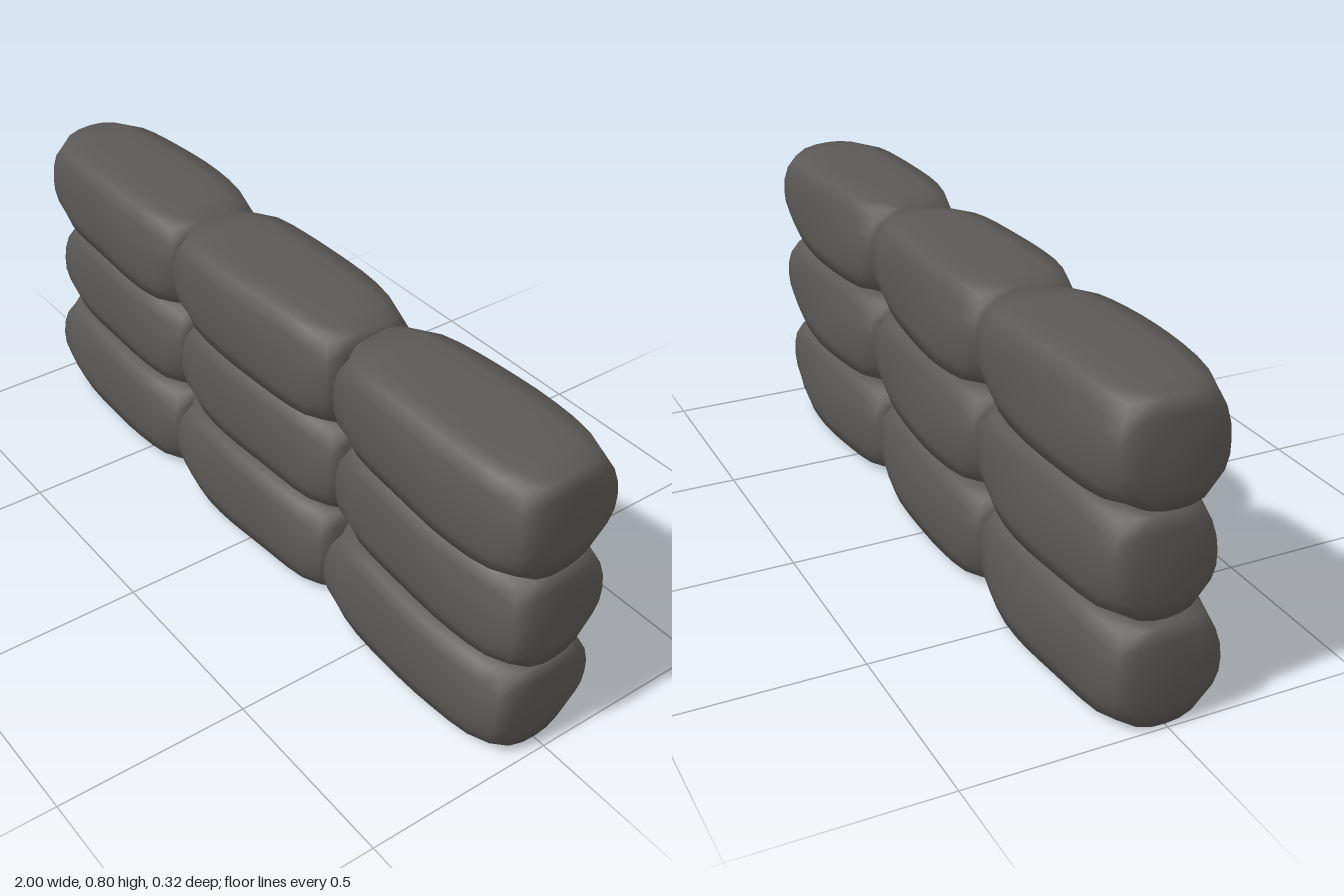
import * as THREE from 'three';
import { mergeVertices } from 'three/addons/utils/BufferGeometryUtils.js';

// Small seeded generator for the irregularity of the stones
function seeded(seed) {
  let s = seed * 7919 + 17;
  return () => {
    s = (s * 16807) % 2147483647;
    return s / 2147483647;
  };
}

// One pillowed stone block: a box whose ends and corners are drawn in
function stoneGeometry(hx, hy, hz, peak, seed) {
  const rand = seeded(seed);
  rand();
  const p1 = rand() * 6, p2 = rand() * 6, p3 = rand() * 6;
  let g = new THREE.BoxGeometry(2, 2, 2, 10, 6, 6);
  g.deleteAttribute('uv');
  g.deleteAttribute('normal');
  g = mergeVertices(g);
  const pos = g.attributes.position;
  for (let i = 0; i < pos.count; i++) {
    const u = pos.getX(i), v = pos.getY(i), w = pos.getZ(i);
    const u2 = u * u, v2 = v * v, w2 = w * w;
    const u6 = u2 ** 3, v4 = v2 * v2, w4 = w2 * w2;
    // Depth is greatest at the peak and tapers towards both ends
    const taper = (Math.abs(u - peak) / (1 + Math.abs(peak))) ** 1.4;
    const x = hx * u * (1 - 0.03 * v2 - 0.035 * w4 - 0.05 * v4 * w4);
    const y = hy * v * (1 - 0.035 * u2 - 0.04 * w4 - 0.1 * u6 * w2);
    const z = hz * w * (1 - 0.12 * taper - 0.05 * u6 - 0.11 * (v2 + v4) / 2 - 0.06 * u6 * v2);
    // Gentle lumps
    pos.setXYZ(i,
      x + 0.003 * Math.sin(3 * w + p1),
      y + 0.003 * Math.sin(4 * u + p2) * (1 - w4 * 0.5),
      z + 0.003 * Math.sin(3 * u + 2 * v + p3));
  }
  g.computeVertexNormals();
  return g;
}

export function createModel() {
  const model = new THREE.Group();
  model.name = 'stoneWall';
  const stone = new THREE.MeshStandardMaterial({ color: 0x5c5a58 });
  stone.name = 'dark stone';

  // Rows from the ground up: height range, depth range, ends of each block
  const rows = [
    { name: 'bottom', y: [0.006, 0.27], z: [-0.16, 0.16], x: [[-1, -0.34], [-0.345, 0.315], [0.318, 0.985]] },
    { name: 'middle', y: [0.27, 0.533], z: [-0.161, 0.143], x: [[-0.985, -0.33], [-0.333, 0.33], [0.333, 0.995]] },
    { name: 'top', y: [0.533, 0.798], z: [-0.161, 0.158], x: [[-0.99, -0.33], [-0.335, 0.325], [0.333, 0.997]] },
  ];
  const columns = ['Right', 'Middle', 'Left'];
  const peaks = [0.25, -0.25, 0.2];
  // Slight lean of each block's ends, as x offset per unit of height
  const leans = [[0, -0.02, 0.05], [0.02, 0, -0.04], [0.03, 0, -0.02]];

  rows.forEach((row, r) => row.x.forEach(([x0, x1], c) => {
    const [y0, y1] = row.y, [z0, z1] = row.z;
    const geometry = stoneGeometry((x1 - x0) / 2, (y1 - y0) / 2, (z1 - z0) / 2, peaks[c], r * 3 + c + 1);
    geometry.applyMatrix4(new THREE.Matrix4().makeShear(0, 0, leans[r][c], 0, 0, 0));
    geometry.computeVertexNormals();
    const mesh = new THREE.Mesh(geometry, stone);
    mesh.name = `${row.name}${columns[c]}Stone`;
    mesh.position.set((x0 + x1) / 2, (y0 + y1) / 2, (z0 + z1) / 2);
    model.add(mesh);
  }));

  return model;
}
